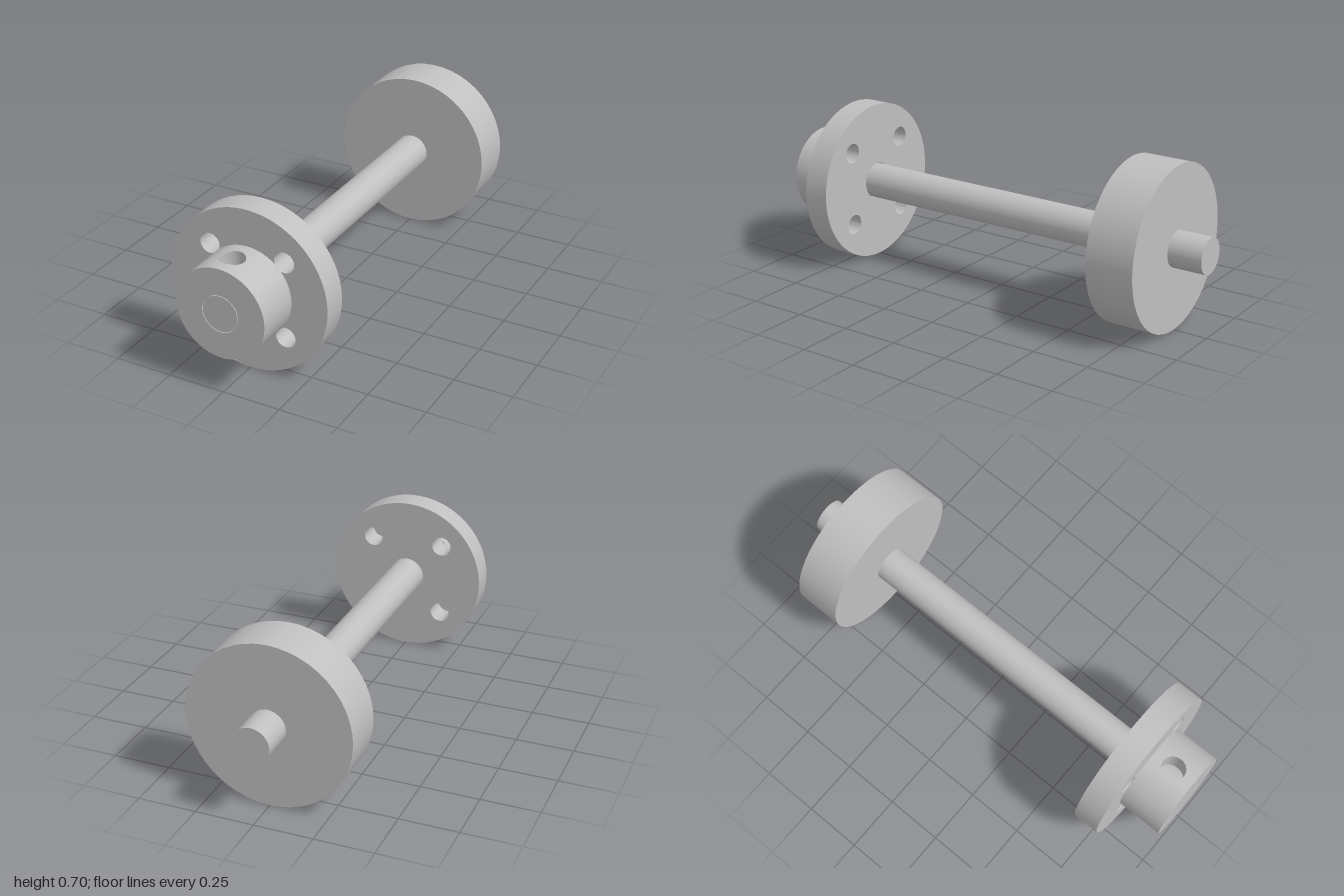
import * as THREE from 'three';
import { toCreasedNormals } from 'three/addons/utils/BufferGeometryUtils.js';

const AXIS_Y = 0.353;
const DISC_R = 0.352, HUB_R = 0.195, BORE_R = 0.08, SHAFT_R = 0.077;
const SCREW_R = 0.052, SCREW_Z = 0.9, HUB_HALF = 0.1;
const SEG = 48;

// Solid or open cylinder lying along z
function cylinder(r, z0, z1, open = false, start = 0, length = Math.PI * 2) {
  const g = new THREE.CylinderGeometry(r, r, z1 - z0, SEG, 1, open, start, length);
  return g.rotateX(Math.PI / 2).translate(0, 0, (z0 + z1) / 2);
}

// Closed strips between loops of points; point(angle, k) with k from 0 to 1
function loft(steps, point, normal) {
  const pos = [], nor = [], idx = [];
  for (let j = 0; j <= steps; j++) {
    for (let i = 0; i < SEG; i++) {
      const p = point((i / SEG) * Math.PI * 2, j / steps);
      pos.push(...p);
      if (normal) nor.push(...normal(p));
      if (j === steps) continue;
      const a = j * SEG + i, b = j * SEG + ((i + 1) % SEG);
      idx.push(a, b, a + SEG, b, b + SEG, a + SEG);
    }
  }
  const g = new THREE.BufferGeometry();
  g.setAttribute('position', new THREE.Float32BufferAttribute(pos, 3));
  g.setIndex(idx);
  if (normal) g.setAttribute('normal', new THREE.Float32BufferAttribute(nor, 3));
  else g.computeVertexNormals();
  return g;
}

// Curved wall patch at the top of a cylinder, pierced by the set screw hole
function piercedPatch(r, halfAngle) {
  return loft(4, (a, k) => {
    const c = Math.cos(a), s = Math.sin(a), m = Math.max(Math.abs(c), Math.abs(s));
    const t = THREE.MathUtils.lerp(Math.asin((SCREW_R * c) / r), (c / m) * halfAngle, k);
    const w = THREE.MathUtils.lerp(SCREW_R * s, (s / m) * HUB_HALF, k);
    return [r * Math.sin(t), r * Math.cos(t), SCREW_Z + w];
  }, (p) => [p[0] / r, p[1] / r, 0]);
}

export function createModel() {
  const steel = new THREE.MeshStandardMaterial({ color: 0xbfbfbf, side: THREE.DoubleSide });
  steel.name = 'grey steel';
  const model = new THREE.Group();
  model.name = 'flangedShaft';
  const add = (name, geometry, parent = model) => {
    const mesh = new THREE.Mesh(geometry, steel);
    mesh.name = name;
    mesh.position.y = parent === model ? AXIS_Y : 0;
    parent.add(mesh);
  };

  add('shaft', cylinder(SHAFT_R, -1, 1));
  add('rearDisc', cylinder(DISC_R, -0.85, -0.64));

  // Front flange with centre bore and four bolt holes
  const outline = new THREE.Shape().absarc(0, 0, DISC_R, 0, Math.PI * 2);
  const cut = (x, y, r) => outline.holes.push(new THREE.Path().absarc(x, y, r, 0, Math.PI * 2, true));
  cut(0, 0, BORE_R);
  for (const sx of [-1, 1]) for (const sy of [-1, 1]) cut(sx * 0.166, sy * 0.166, 0.044);
  const flange = new THREE.ExtrudeGeometry(outline, { depth: 0.115, bevelEnabled: false, curveSegments: SEG });
  add('frontFlange', toCreasedNormals(flange.translate(0, 0, 0.685), 0.6));

  // Hub: outer wall and bore, each left open around the set screw hole
  const hub = new THREE.Group();
  hub.name = 'hub';
  hub.position.y = AXIS_Y;
  model.add(hub);
  for (const [name, r, half] of [['hubWall', HUB_R, 0.5], ['hubBore', BORE_R, 1.0]]) {
    add(name, cylinder(r, 0.8, 1, true, Math.PI + half, Math.PI * 2 - 2 * half), hub);
    add(name + 'Pierced', piercedPatch(r, half), hub);
  }
  for (const [name, z] of [['hubFrontFace', 1], ['hubRearFace', 0.8005]]) {
    const face = new THREE.RingGeometry(BORE_R, HUB_R, SEG);
    if (z < 1) face.rotateY(Math.PI);
    add(name, face.translate(0, 0, z), hub);
  }

  // Side of the set screw hole, from hub surface down to the bore
  add('setScrewHole', loft(1, (a, k) => {
    const x = SCREW_R * Math.cos(a), r = k ? HUB_R : BORE_R;
    return [x, Math.sqrt(r * r - x * x), SCREW_Z + SCREW_R * Math.sin(a)];
  }), hub);

  return model;
}
